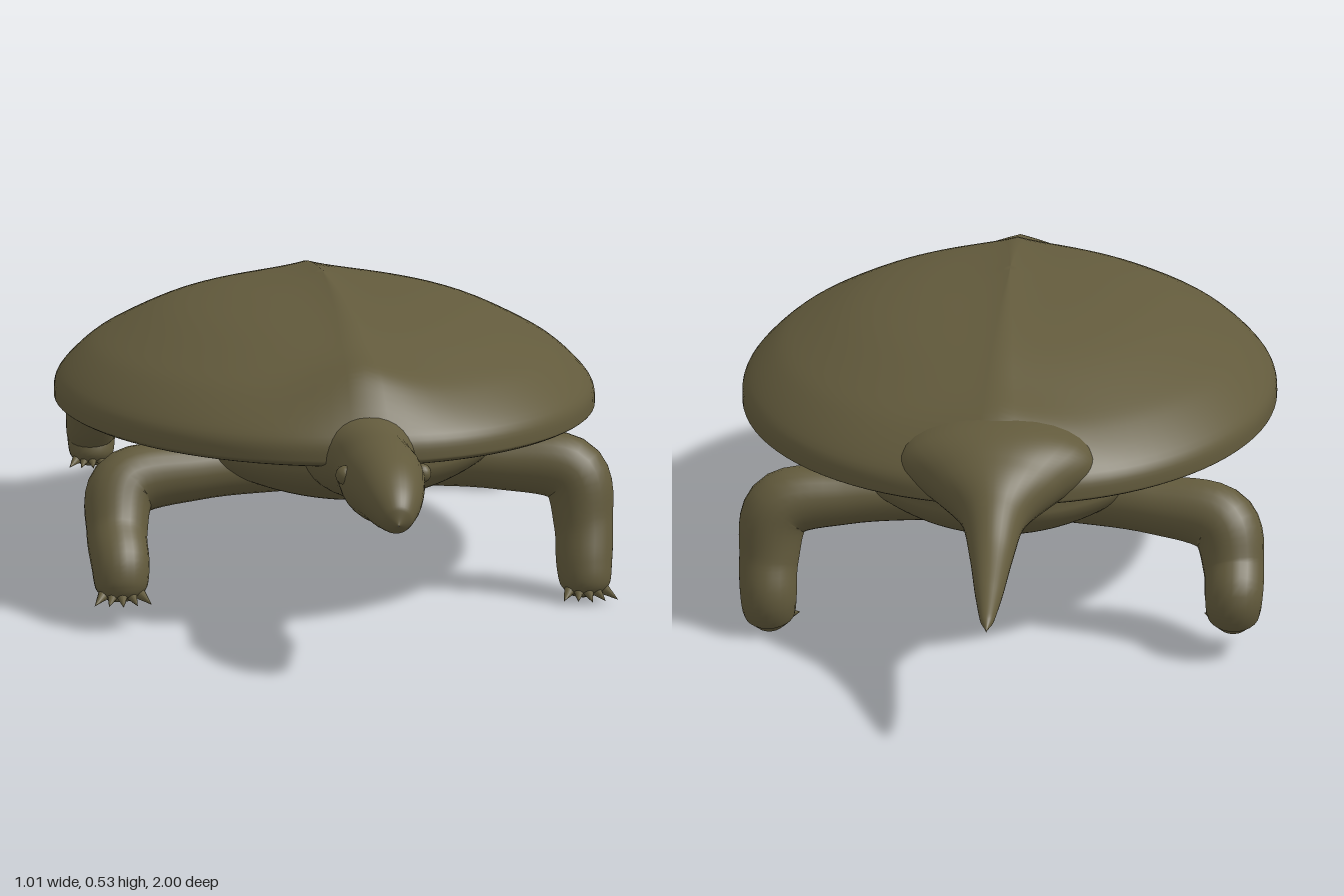
import * as THREE from 'three';
import { mergeVertices } from 'three/addons/utils/BufferGeometryUtils.js';

const olive = new THREE.MeshStandardMaterial({ color: 0x625a3c });

function addMesh(parent, name, geometry) {
  const mesh = new THREE.Mesh(geometry, olive);
  mesh.name = name;
  parent.add(mesh);
  return mesh;
}

// Weld seams so the surface shades smoothly
function smooth(geometry) {
  geometry.deleteAttribute('uv');
  geometry.deleteAttribute('normal');
  const welded = mergeVertices(geometry, 1e-5);
  welded.computeVertexNormals();
  return welded;
}

// Oval shape turned from a [radius, y] profile (bottom to top), with a height rule
function oval(profile, halfX, halfZ, midZ, lift) {
  const curve = new THREE.SplineCurve(profile.map(([r, y]) => new THREE.Vector2(r, y)));
  const points = curve.getPoints(60).map(p => p.setX(THREE.MathUtils.clamp(p.x, 0, 1)));
  const geometry = new THREE.LatheGeometry(points, 96);
  geometry.scale(halfX, 1, halfZ).translate(0, 0, midZ);
  const pos = geometry.attributes.position;
  for (let i = 0; i < pos.count; i++) {
    const x = pos.getX(i), y = pos.getY(i), z = pos.getZ(i);
    pos.setY(i, y + lift(x, y, z));
  }
  return smooth(geometry);
}

// Round limb through nodes [x, y, z, radius, widthScale]
function limb(nodes, segments = 48, sides = 24) {
  const path = new THREE.CatmullRomCurve3(nodes.map(n => new THREE.Vector3(n[0], n[1], n[2])));
  path.getUtoTmapping = u => u;
  const size = new THREE.SplineCurve(nodes.map(n => new THREE.Vector2(n[3], n[4] ?? 1)));
  const geometry = new THREE.TubeGeometry(path, segments, 1, sides);
  const pos = geometry.attributes.position;
  const v = new THREE.Vector3();
  for (let i = 0; i <= segments; i++) {
    const c = path.getPoint(i / segments);
    const s = size.getPoint(i / segments);
    const r = Math.max(s.x, 0.0005);
    for (let j = 0; j <= sides; j++) {
      const k = i * (sides + 1) + j;
      v.fromBufferAttribute(pos, k).sub(c).multiplyScalar(r);
      pos.setXYZ(k, c.x + v.x * s.y, c.y + v.y, c.z + v.z);
    }
  }
  return smooth(geometry);
}

// Leg from hip through knee to a rounded foot with a fan of claws
function addLeg(parent, name, side, hipZ, knee, foot, radius) {
  const leg = new THREE.Group();
  leg.name = name;
  const [kx, ky, kz] = knee, [fx, fy, fz] = foot;
  const mix = (a, b, t) => a + (b - a) * t;
  addMesh(leg, 'limb', limb([
    [side * 0.1, 0.245, hipZ, 0.05],
    [side * 0.27, 0.242, mix(hipZ, kz, 0.6), 0.052],
    [side * (kx - 0.02), ky, kz, 0.061],
    [side * mix(kx, fx, 0.5), mix(ky, fy, 0.5), mix(kz, fz, 0.5), 0.053],
    [side * fx, fy + 0.025, fz, 0.05],
    [side * fx, fy - 0.012, fz + 0.012, 0.044],
    [side * fx, fy - 0.03, fz + 0.016, 0.026],
    [side * fx, fy - 0.034, fz + 0.018, 0]
  ]));
  for (let i = -2; i <= 2; i++) {
    const claw = new THREE.ConeGeometry(0.01, 0.042, 10);
    claw.rotateX(Math.PI / 2 + 0.25).rotateY(i * 0.22);
    claw.translate(side * fx + i * 0.02, fy - 0.024, fz + 0.058 - Math.abs(i) * 0.006);
    addMesh(leg, 'claw', claw);
  }
  parent.add(leg);
}

export function createModel() {
  const model = new THREE.Group();
  model.name = 'turtle';

  // Domed shell with a low keel and swellings over the neck and tail
  const bump = (x, z, z0, w) => Math.exp(-((x / w) ** 2) - ((z - z0) / 0.07) ** 2);
  addMesh(model, 'shell', oval([
    [0, 0.27], [0.5, 0.272], [0.78, 0.278], [0.93, 0.29], [0.99, 0.301], [1, 0.312], [0.985, 0.345],
    [0.9, 0.39], [0.8, 0.424], [0.6, 0.472], [0.4, 0.5], [0.2, 0.514], [0, 0.52]
  ], 0.506, 0.67, 0.02, (x, y, z) => y < 0.32 ? 0 :
    0.016 * Math.exp(-Math.abs(x) / 0.06) * Math.min(1, (y - 0.32) / 0.1)
    + Math.min(1, (y - 0.32) / 0.05) * (0.022 * bump(x, z, 0.59, 0.1) + 0.015 * bump(x, z, -0.57, 0.13))));

  // Flattened belly, rising toward the sides
  addMesh(model, 'belly', oval([
    [0, 0.186], [0.35, 0.187], [0.65, 0.19], [0.85, 0.206], [0.96, 0.235], [1, 0.27], [0.98, 0.3], [0, 0.31]
  ], 0.35, 0.62, 0, (x, y) => y < 0.28 ? 0.55 * x * x * (0.28 - y) / 0.09 : 0));

  // Neck and head in one tapering form
  addMesh(model, 'neckAndHead', limb([
    [0, 0.3, 0.45, 0.08, 1.5], [0, 0.305, 0.61, 0.078, 1.3], [0, 0.307, 0.71, 0.064, 1.08],
    [0, 0.303, 0.82, 0.067, 1.03], [0, 0.3, 0.9, 0.057], [0, 0.287, 0.95, 0.043],
    [0, 0.273, 0.985, 0.024], [0, 0.268, 1, 0]
  ], 64, 32));
  for (const side of [-1, 1]) {
    const eye = addMesh(model, side > 0 ? 'leftEye' : 'rightEye', new THREE.SphereGeometry(0.016, 16, 12));
    eye.position.set(side * 0.063, 0.316, 0.83);
  }

  // Tail, broad at the shell and pointed at the tip
  addMesh(model, 'tail', limb([
    [0, 0.35, -0.48, 0.07, 2.4], [0, 0.35, -0.59, 0.075, 2.2], [0, 0.332, -0.66, 0.067, 1.6],
    [0, 0.305, -0.73, 0.052, 1.05], [0, 0.27, -0.81, 0.036], [0, 0.241, -0.9, 0.023],
    [0, 0.222, -0.97, 0.011], [0, 0.214, -1, 0]
  ], 64, 32));

  // Legs in mid stride
  addLeg(model, 'frontLeftLeg', 1, 0.36, [0.42, 0.222, 0.42], [0.415, 0.042, 0.465]);
  addLeg(model, 'frontRightLeg', -1, 0.38, [0.42, 0.222, 0.44], [0.415, 0.08, 0.545]);
  addLeg(model, 'backLeftLeg', 1, -0.42, [0.41, 0.222, -0.45], [0.41, 0.042, -0.49]);
  addLeg(model, 'backRightLeg', -1, -0.42, [0.41, 0.222, -0.5], [0.41, 0.085, -0.575]);

  return model;
}
